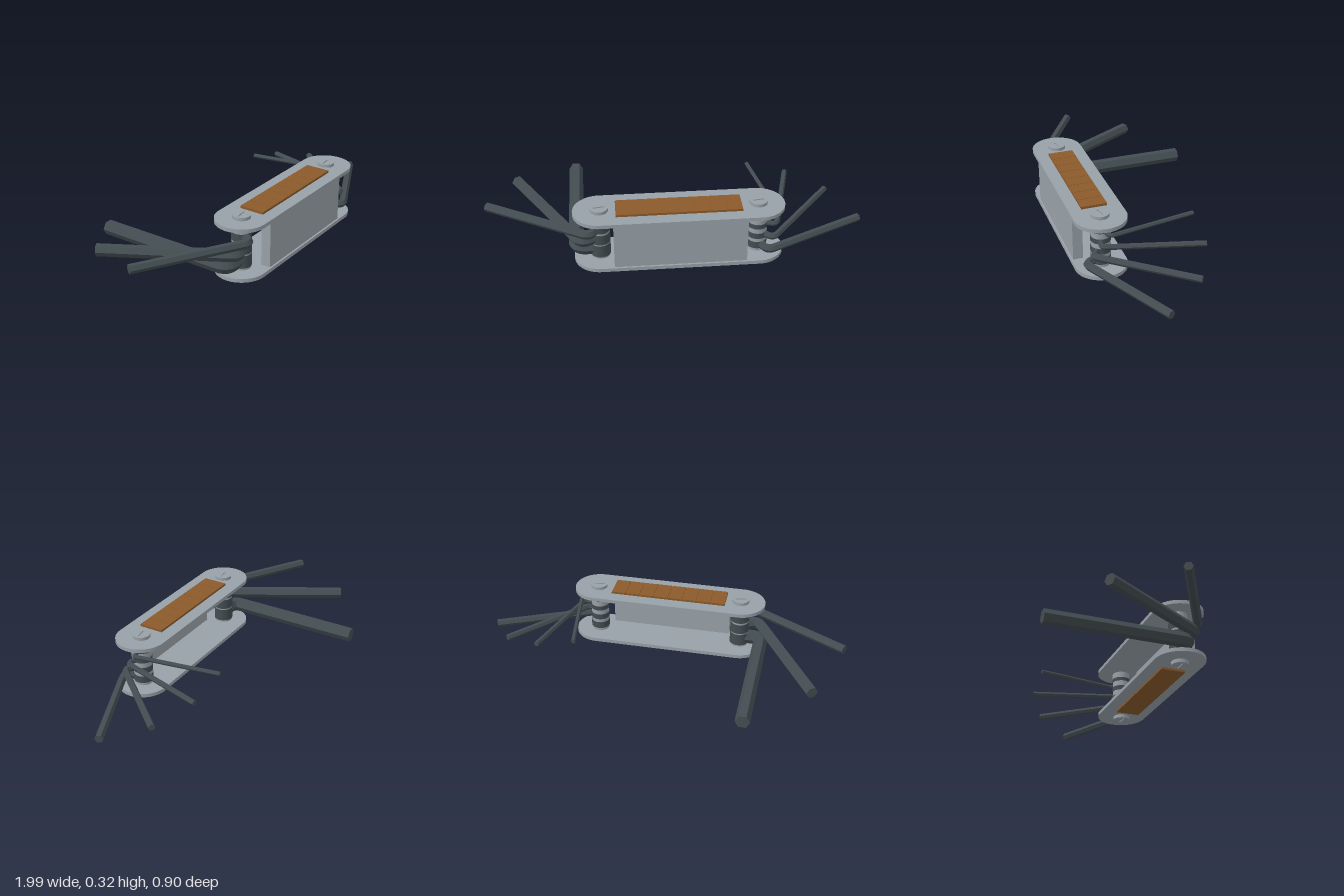
import * as THREE from 'three';

const PIN_X = 0.405, PIN_Z = 0.315, PLATE_R = 0.135;

export function createModel() {
  const model = new THREE.Group();
  model.name = 'foldingHexKeySet';

  const steel = new THREE.MeshStandardMaterial({ color: 0x98a1a8 });
  steel.name = 'brushed steel';
  const dark = new THREE.MeshStandardMaterial({ color: 0x434d51 });
  dark.name = 'dark key steel';
  const wood = new THREE.MeshStandardMaterial({ color: 0x8a5a2a });
  wood.name = 'brown grip';

  const add = (name, geometry, material, x, y, z, parent = model) => {
    const mesh = new THREE.Mesh(geometry, material);
    mesh.name = name;
    mesh.position.set(x, y, z);
    parent.add(mesh);
    return mesh;
  };

  // Rounded side plates
  const outline = new THREE.Shape();
  outline.absarc(PIN_X, 0, PLATE_R, -Math.PI / 2, Math.PI / 2);
  outline.absarc(-PIN_X, 0, PLATE_R, Math.PI / 2, Math.PI * 1.5);
  const plate = new THREE.ExtrudeGeometry(outline, { depth: 0.02, bevelEnabled: false, curveSegments: 24 });
  plate.rotateX(-Math.PI / 2);
  add('bottomPlate', plate, steel, 0, 0.02, PIN_Z);
  add('topPlate', plate, steel, 0, 0.288, PIN_Z);

  // Spine joining the plates along the front
  add('spine', new THREE.BoxGeometry(0.676, 0.248, 0.052), steel, 0, 0.164, 0.414);

  // Grip inlays: a ribbed one on top, a plain one below
  add('bottomGrip', new THREE.BoxGeometry(0.64, 0.012, 0.134), wood, -0.003, 0.014, 0.317);
  add('topGripBase', new THREE.BoxGeometry(0.64, 0.008, 0.134), wood, -0.003, 0.312, 0.317);
  const rib = new THREE.BoxGeometry(0.0775, 0.004, 0.134);
  for (let i = 0; i < 8; i++) add('topGripRib', rib, wood, -0.283 + i * 0.08, 0.318, 0.317);

  // Slotted screw head
  const headShape = new THREE.Shape();
  headShape.absarc(0, 0, 0.046, 0, Math.PI * 2);
  const slot = new THREE.Path();
  slot.moveTo(-0.03, -0.005);
  slot.lineTo(-0.03, 0.005);
  slot.lineTo(0.03, 0.005);
  slot.lineTo(0.03, -0.005);
  slot.closePath();
  headShape.holes.push(slot);
  const head = new THREE.ExtrudeGeometry(headShape, { depth: 0.006, bevelEnabled: false, curveSegments: 24 });
  head.rotateX(-Math.PI / 2);

  // Pivot pins
  for (const side of [-1, 1]) {
    const pin = new THREE.Group();
    pin.name = side > 0 ? 'leftPin' : 'rightPin';
    pin.position.set(side * PIN_X, 0, PIN_Z);
    model.add(pin);
    add('pinShaft', new THREE.CylinderGeometry(0.046, 0.046, 0.313, 32), steel, 0, 0.1625, 0, pin);
    add('washers', new THREE.CylinderGeometry(0.049, 0.049, 0.248, 32), steel, 0, 0.164, 0, pin);
    add('topScrewHead', head, steel, 0, 0.319, 0, pin).rotation.y = 0.15;
    add('bottomScrewHead', head, steel, 0, 0.006, 0, pin).rotation.x = Math.PI;
  }

  // Hex key: an eye round the pin, a short arm, a bend and a long shank
  const addKey = ({ side, y, r, offset, reach, angle }) => {
    const key = new THREE.Group();
    key.name = 'hexKey';
    key.position.set(side * PIN_X, y, PIN_Z);
    key.rotation.y = -side * THREE.MathUtils.degToRad(angle);
    model.add(key);

    const bend = Math.min(0.05, r + 0.015);
    const P = (a, b) => new THREE.Vector3(side * a, b, 0);
    const path = new THREE.CurvePath();
    path.add(new THREE.LineCurve3(P(0.02, 0), P(offset - bend, 0)));
    path.add(new THREE.QuadraticBezierCurve3(P(offset - bend, 0), P(offset, 0), P(offset, bend)));
    path.add(new THREE.LineCurve3(P(offset, bend), P(offset, reach)));

    // Hexagon with flats facing up and down
    const hex = new THREE.Shape();
    for (let i = 0; i < 6; i++) {
      const a = Math.PI / 2 + i * Math.PI / 3;
      const px = r * Math.cos(a), py = r * Math.sin(a);
      if (i) hex.lineTo(px, py); else hex.moveTo(px, py);
    }
    hex.closePath();
    const rod = new THREE.ExtrudeGeometry(hex, { steps: 64, extrudePath: path, bevelEnabled: false });
    rod.rotateX(-Math.PI / 2);
    add('keyRod', rod, dark, 0, 0, 0, key);
    add('keyEye', new THREE.CylinderGeometry(0.052, 0.052, r * 1.74, 32), dark, 0, 0, 0, key);
  };

  [
    { side: -1, y: 0.085, r: 0.039, offset: 0.125, reach: 0.77, angle: 0 },
    { side: -1, y: 0.155, r: 0.032, offset: 0.112, reach: 0.70, angle: 30 },
    { side: -1, y: 0.216, r: 0.024, offset: 0.104, reach: 0.615, angle: 60 },
    { side: 1, y: 0.075, r: 0.022, offset: 0.104, reach: 0.59, angle: 65 },
    { side: 1, y: 0.131, r: 0.018, offset: 0.1, reach: 0.56, angle: 40 },
    { side: 1, y: 0.188, r: 0.0145, offset: 0.1, reach: 0.515, angle: 15 },
    { side: 1, y: 0.243, r: 0.0115, offset: 0.1, reach: 0.475, angle: -10 },
  ].forEach(addKey);

  return model;
}
